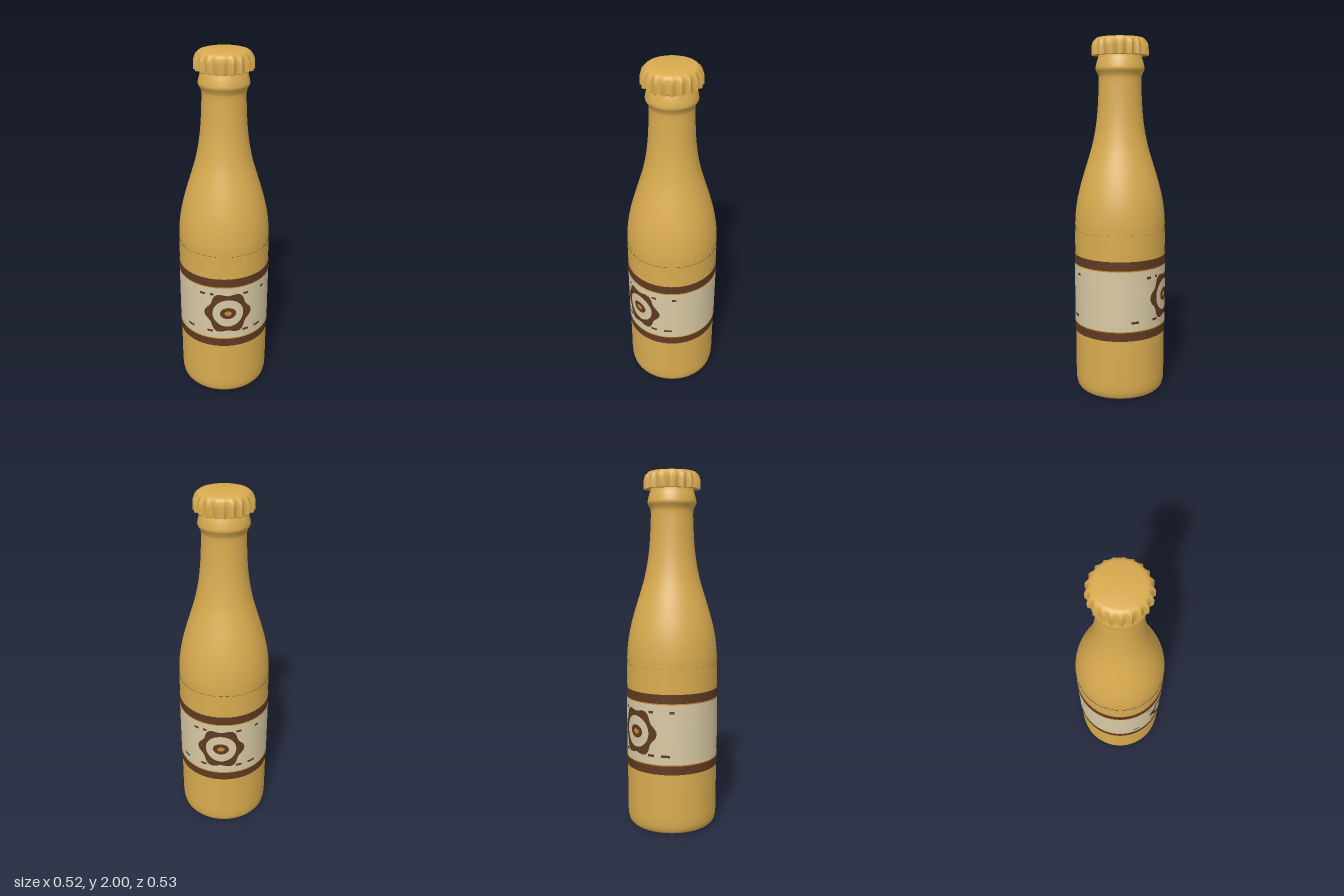
import * as THREE from 'three';
import { toCreasedNormals } from 'three/addons/utils/BufferGeometryUtils.js';

const material = (name, color) => new THREE.MeshStandardMaterial({ name, color });
const SEGMENTS = 80;
const LABEL_R = 0.261;
const EMBLEM_Y = 0.577;

const toPoints = (list) => list.map(([r, y]) => new THREE.Vector2(r, y));

function addMesh(parent, name, geometry, mat) {
  const mesh = new THREE.Mesh(geometry, mat);
  mesh.name = name;
  parent.add(mesh);
  return mesh;
}

// Sleeve hugging the body between two heights, with its edges turned in
function sleeve(y0, y1, r) {
  const profile = toPoints([[0.256, y0], [r, y0], [r, y1], [0.256, y1]]);
  return toCreasedNormals(new THREE.LatheGeometry(profile, SEGMENTS), 0.6);
}

// Flat ring wrapped onto the label; the outline is a function of its angle
function wrappedRing(inner, outer, r) {
  const geo = new THREE.RingGeometry(1, 2, 96, 4);
  const p = geo.attributes.position;
  for (let i = 0; i < p.count; i++) {
    const a = Math.atan2(p.getY(i), p.getX(i));
    const t = Math.hypot(p.getX(i), p.getY(i)) - 1;
    const d = THREE.MathUtils.lerp(inner, outer(a), t);
    const turn = (d * Math.cos(a)) / LABEL_R;
    p.setXYZ(i, r * Math.sin(turn), EMBLEM_Y + d * Math.sin(a), r * Math.cos(turn));
  }
  geo.computeVertexNormals();
  return geo;
}

// Crown cap: a lathe whose skirt is pulled out into pointed flutes
function crownCap() {
  const flutes = 21;
  const profile = toPoints([
    [0.112, 1.91], [0.138, 1.902], [0.143, 1.905], [0.143, 1.93], [0.142, 1.955],
    [0.14, 1.975], [0.136, 1.988], [0.128, 1.996], [0.115, 2], [0, 2],
  ]);
  const geo = new THREE.LatheGeometry(profile, flutes * 8, -Math.PI / 2);
  const p = geo.attributes.position;
  for (let i = 0; i < p.count; i++) {
    const x = p.getX(i), y = p.getY(i), z = p.getZ(i);
    const r = Math.hypot(x, z);
    if (r < 0.125) continue;
    const a = Math.atan2(x, z) + Math.PI / 2;
    const point = 1 - Math.abs(Math.sin((flutes * a) / 2));
    const fade = 1 - THREE.MathUtils.smoothstep(y, 1.96, 2);
    const s = 1 + (0.015 * point * fade) / r;
    p.setXYZ(i, x * s, y, z * s);
  }
  return toCreasedNormals(geo, 0.7);
}

export function createModel() {
  const gold = material('bottle gold', 0xd9ab4f);
  const brown = material('label brown', 0x5e3a22);
  const cream = material('label cream', 0xd8c9a4);
  const amber = material('trim amber', 0xc98a2b);
  const model = new THREE.Group();
  model.name = 'bottle';

  // Hollowed base, rounded heel and straight body
  const lower = toPoints([
    [0, 0.06], [0.07, 0.055], [0.14, 0.038], [0.19, 0.012], [0.21, 0.002], [0.225, 0],
    [0.24, 0.005], [0.25, 0.018], [0.256, 0.045], [0.258, 0.09], [0.258, 0.5], [0.258, 0.94],
  ]);
  addMesh(model, 'body', new THREE.LatheGeometry(lower, SEGMENTS), gold);

  // Shoulder and neck sweep, then the bulged lip
  const curve = new THREE.SplineCurve(toPoints([
    [0.2565, 0.94], [0.2555, 1.0], [0.247, 1.08], [0.231, 1.16], [0.206, 1.25], [0.178, 1.34],
    [0.155, 1.42], [0.137, 1.51], [0.126, 1.6], [0.12, 1.7], [0.118, 1.78],
    [0.124, 1.805], [0.134, 1.825], [0.135, 1.84], [0.128, 1.87], [0.12, 1.895], [0.115, 1.92],
  ]));
  addMesh(model, 'shoulderAndNeck', new THREE.LatheGeometry(curve.getPoints(90), SEGMENTS), gold);

  addMesh(model, 'crownCap', crownCap(), gold);

  // Wrapped label with a brown band and thin trim line at each edge
  addMesh(model, 'label', sleeve(0.4, 0.75, LABEL_R), cream);
  for (const [name, y, trimY] of [['lower', 0.35, 0.4], ['upper', 0.75, 0.744]]) {
    addMesh(model, name + 'Band', sleeve(y, y + 0.05, LABEL_R), brown);
    addMesh(model, name + 'Trim', sleeve(trimY, trimY + 0.006, LABEL_R + 0.0004), amber);
  }

  // Medallion and small dashes, repeated on the front and back
  const dashes = [ // angle, height, width
    [-0.57, 0.7, 0.03], [-0.36, 0.702, 0.02], [0.4, 0.7, 0.03], [0.86, 0.7, 0.025],
    [-0.9, 0.455, 0.045], [-0.4, 0.455, 0.035], [0.4, 0.455, 0.035], [0.72, 0.455, 0.05],
  ];
  for (const [side, turn] of [['front', 0], ['back', Math.PI]]) {
    const art = new THREE.Group();
    art.name = side + 'Artwork';
    art.rotation.y = turn;
    model.add(art);
    const scallop = (a) => 0.128 + 0.011 * Math.cos(6 * a);
    const oval = (w, h) => (a) => (w * h) / Math.hypot(h * Math.cos(a), w * Math.sin(a));
    addMesh(art, 'scallopedRing', wrappedRing(0.089, scallop, LABEL_R + 0.0012), brown);
    addMesh(art, 'medallionCentre', wrappedRing(0, oval(0.046, 0.037), LABEL_R + 0.0012), brown);
    addMesh(art, 'medallionDot', wrappedRing(0, oval(0.021, 0.015), LABEL_R + 0.002), amber);
    for (const [angle, y, width] of dashes) {
      const arc = width / LABEL_R;
      const r = LABEL_R + 0.0012;
      const geo = new THREE.CylinderGeometry(r, r, 0.014, 6, 1, true, angle - arc / 2, arc);
      addMesh(art, 'dash', geo, brown).position.y = y;
    }
  }
  return model;
}
